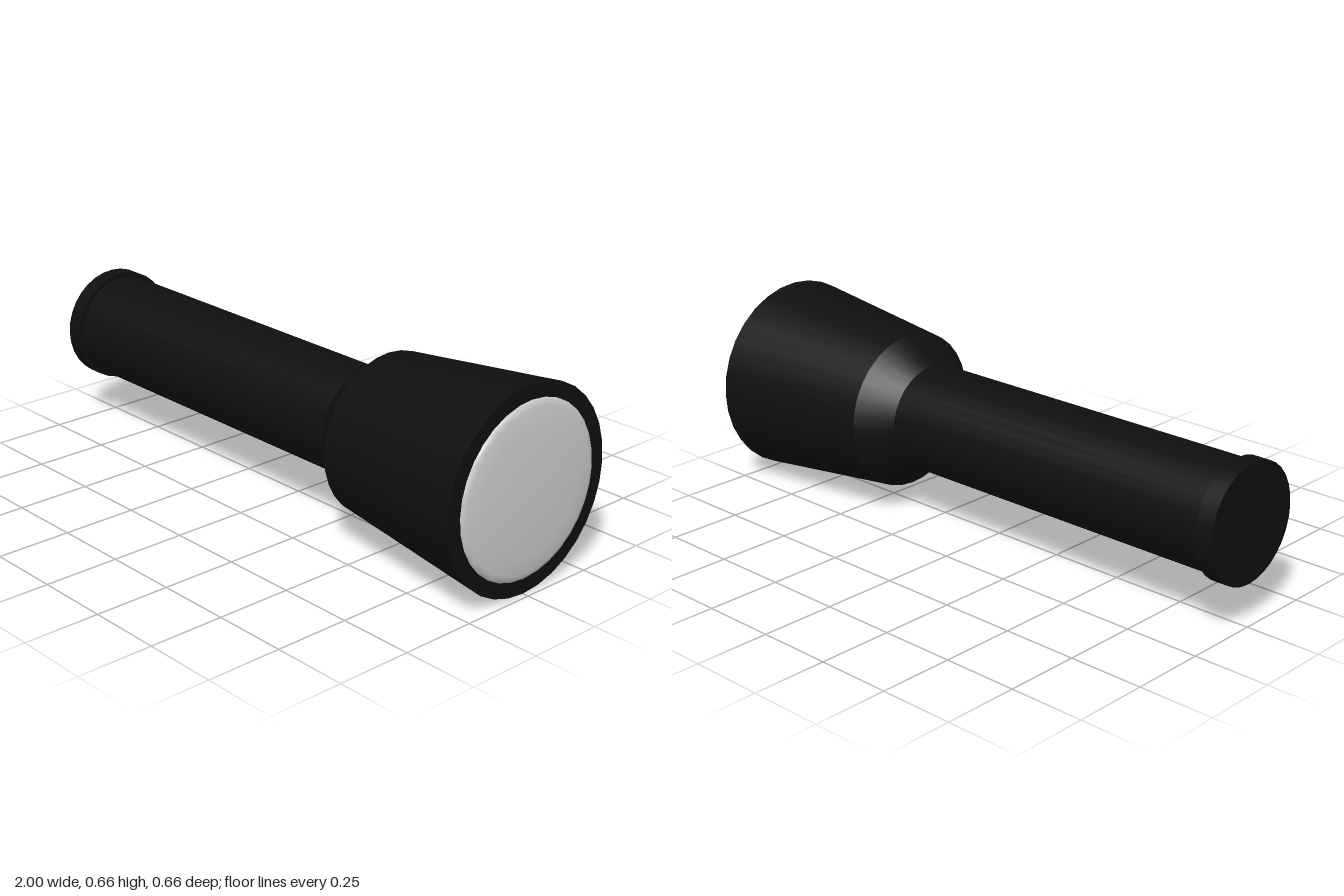
import * as THREE from 'three';
import { toCreasedNormals } from 'three/addons/utils/BufferGeometryUtils.js';

const SIDES = 32;

// Turned part: profile of [radius, distance along the axis], back to front
function turned(name, profile, color, crease) {
  const points = profile.map(([r, d]) => new THREE.Vector2(r, d));
  const geometry = toCreasedNormals(new THREE.LatheGeometry(points, SIDES), crease);
  geometry.rotateZ(-Math.PI / 2); // lay the axis along +x
  const mesh = new THREE.Mesh(geometry, new THREE.MeshStandardMaterial({ color }));
  mesh.name = name;
  return mesh;
}

export function createModel() {
  const black = 0x0f0f0f;
  const torch = new THREE.Group();
  torch.name = 'flashlight';

  // Tail cap, slightly wider than the handle
  torch.add(turned('tailCap', [[0, -1], [0.192, -1], [0.192, -0.942], [0.17, -0.942]], black, 0.5));

  // Long straight handle
  torch.add(turned('handle', [[0.178, -0.945], [0.178, 0.305]], black, 0.5));

  // Flared head with neck, front rim and the seat behind the lens
  torch.add(turned('head', [
    [0.178, 0.303], [0.264, 0.405], [0.33, 0.98], [0.281, 0.98], [0.281, 0.95],
  ], black, 0.5));

  // Shallow domed lens with a softly rounded edge
  torch.add(turned('lens', [
    [0.281, 0.955], [0.281, 0.98], [0.275, 0.986], [0.26, 0.99],
    [0.2, 0.995], [0.1, 0.999], [0, 1],
  ], 0xcccccc, 1.2));

  // The axis leans very slightly
  torch.position.set(0, 0.334, -0.003);
  torch.rotation.set(0, -0.003, -0.002);

  const model = new THREE.Group();
  model.add(torch);
  return model;
}
